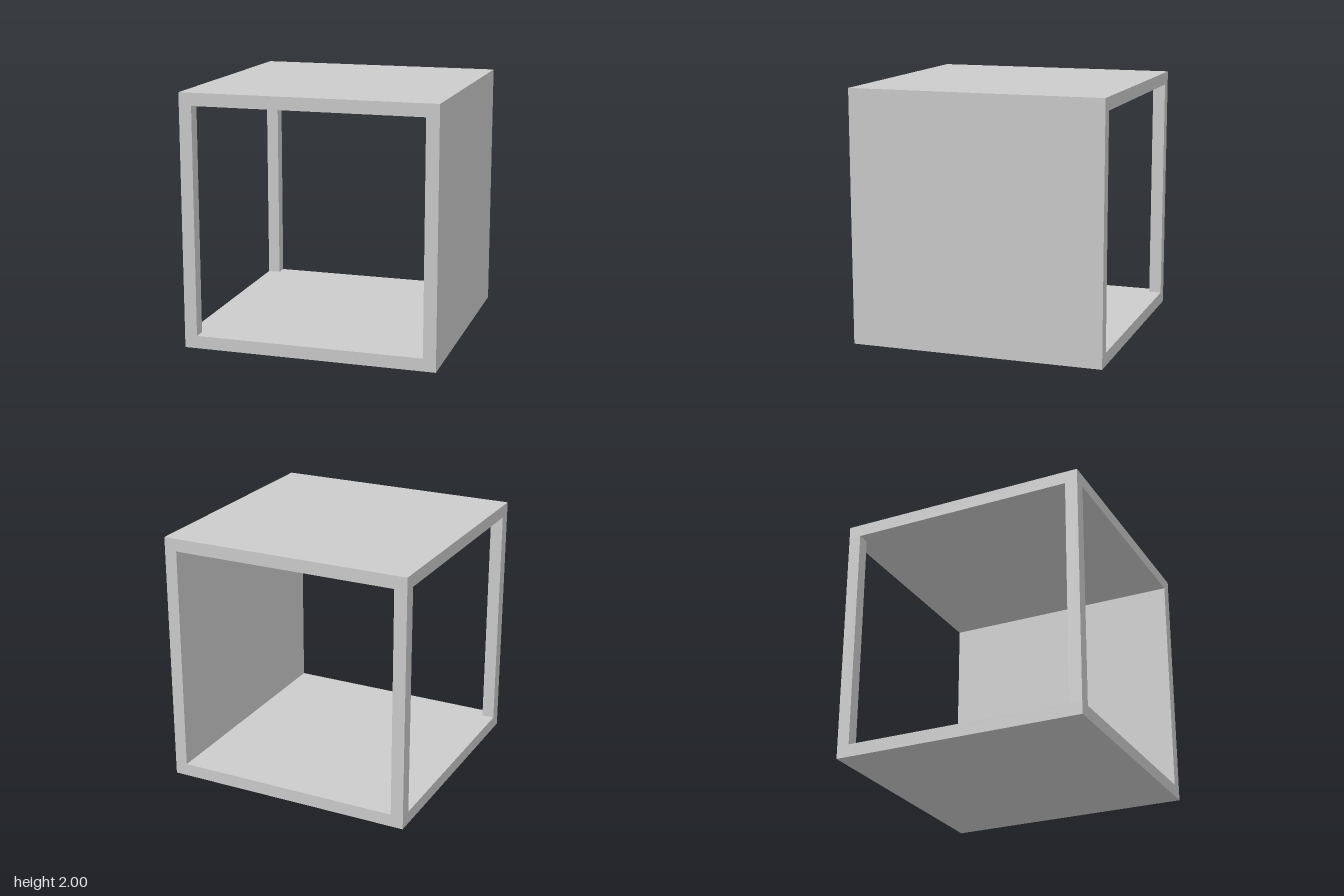
import * as THREE from 'three';

const SIZE = 2;
const T = 0.1; // thickness of panels and posts
const H = SIZE / 2;

export function createModel() {
  const group = new THREE.Group();
  group.name = 'openCube';
  const material = new THREE.MeshStandardMaterial({ color: 0xcccccc, flatShading: true });

  // Floor, left wall and roof as one C-shaped profile, extruded front to back
  const profile = new THREE.Shape([
    [-H, 0], [H, 0], [H, SIZE], [-H, SIZE],
    [-H, SIZE - T], [H - T, SIZE - T], [H - T, T], [-H, T],
  ].map(([x, y]) => new THREE.Vector2(x, y)));
  const shellGeometry = new THREE.ExtrudeGeometry(profile, { depth: SIZE, bevelEnabled: false });
  shellGeometry.translate(0, 0, -H);
  const shell = new THREE.Mesh(shellGeometry, material);
  shell.name = 'floorWallRoof';
  group.add(shell);

  // Two corner posts on the open right side
  const postGeometry = new THREE.BoxGeometry(T, SIZE - 2 * T, T);
  for (const [name, side] of [['frontPost', 1], ['backPost', -1]]) {
    const post = new THREE.Mesh(postGeometry, material);
    post.name = name;
    post.position.set(-H + T / 2, H, side * (H - T / 2));
    group.add(post);
  }

  return group;
}
